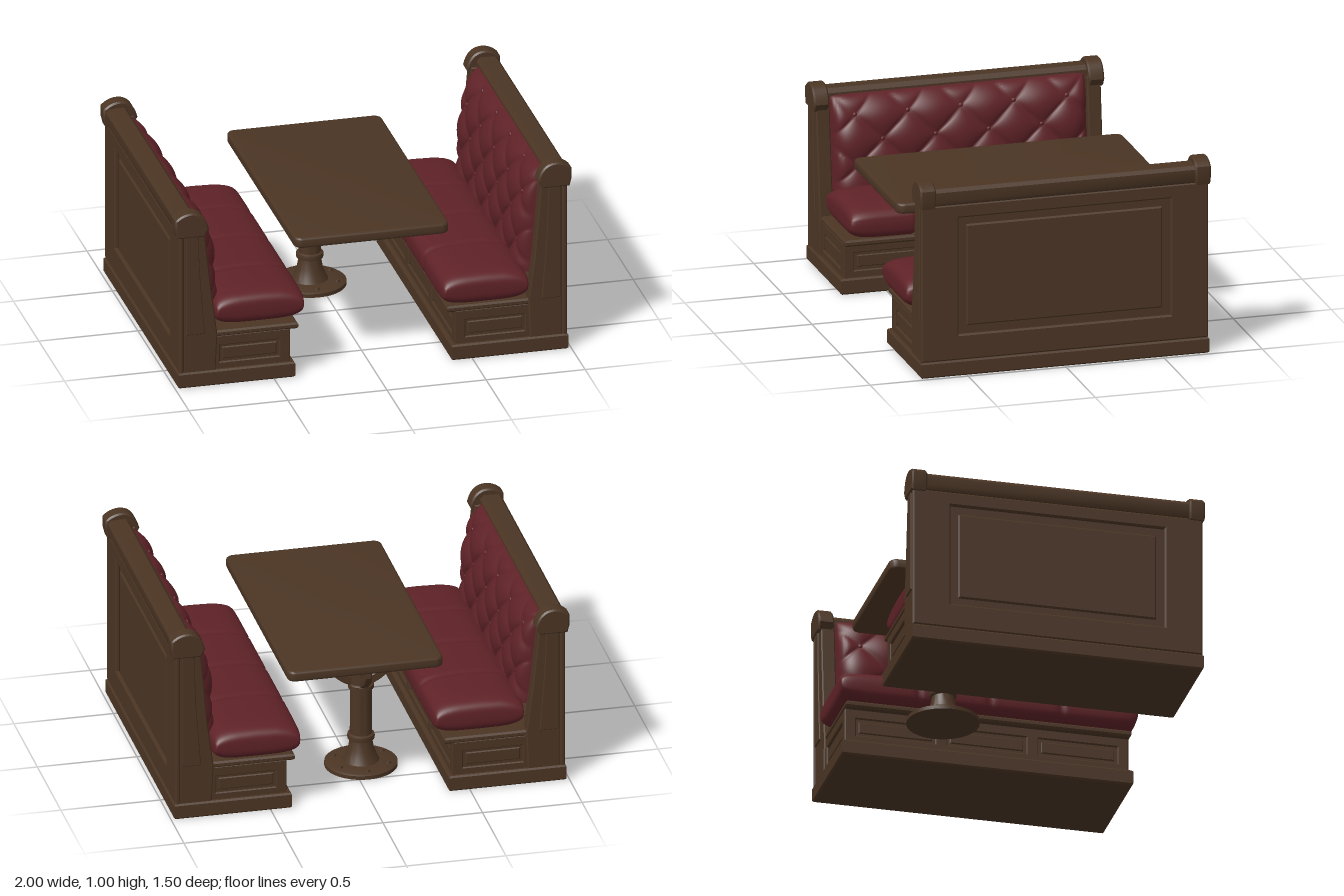
import * as THREE from 'three';
import { toCreasedNormals } from 'three/addons/utils/BufferGeometryUtils.js';

const wood = new THREE.MeshStandardMaterial({ color: 0x4b3524 });
wood.name = 'dark wood';
const leather = new THREE.MeshStandardMaterial({ color: 0x5e2227 });
leather.name = 'red leather';

function add(parent, name, geometry, material = wood) {
  const mesh = new THREE.Mesh(geometry, material);
  mesh.name = name;
  parent.add(mesh);
  return mesh;
}

const polygon = (points) => new THREE.Shape(points.map(([x, y]) => new THREE.Vector2(x, y)));

const rect = (w, h, cx = 0, cy = 0) => [[-1, -1], [1, -1], [1, 1], [-1, 1]]
  .map(([x, y]) => [cx + x * w / 2, cy + y * h / 2]);

// Rectangle with rounded corners, as a list of points
function roundedRect(w, h, r) {
  const points = [];
  rect(w - 2 * r, h - 2 * r).forEach(([x, y], corner) => {
    for (let i = 0; i <= 6; i++) {
      const a = Math.PI * (1 + corner / 2 + i / 12);
      points.push([x + r * Math.cos(a), y + r * Math.sin(a)]);
    }
  });
  return points;
}

// Extrusion centred on z = 0, with its bevel kept inside the outline
function extrude(shape, depth, bevel = 0, segments = 1) {
  const g = new THREE.ExtrudeGeometry(shape, {
    depth: depth - 2 * bevel, bevelEnabled: bevel > 0, bevelSize: bevel, bevelThickness: bevel,
    bevelOffset: -bevel, bevelSegments: segments, curveSegments: 8,
  });
  g.translate(0, 0, bevel - depth / 2);
  return toCreasedNormals(g, 0.6);
}

// Horizontal slab from an outline in x and z
function slab(outline, y0, y1, bevel, segments) {
  return extrude(polygon(outline), y1 - y0, bevel, segments)
    .rotateX(Math.PI / 2).translate(0, (y0 + y1) / 2, 0);
}

function box(x0, x1, y0, y1, halfZ) {
  return new THREE.BoxGeometry(x1 - x0, y1 - y0, 2 * halfZ)
    .translate((x0 + x1) / 2, (y0 + y1) / 2, 0);
}

// Framed panel facing +z: holes are [centreX, centreY, width, height]
function framedPanel(name, w, h, holes, depth, margin) {
  const group = new THREE.Group();
  group.name = name;
  const frame = polygon(rect(w, h));
  for (const [x, y, hw, hh] of holes) {
    frame.holes.push(polygon(rect(hw, hh, x, y).reverse()));
    const field = extrude(polygon(rect(hw - margin, hh - margin)), depth * 0.7, depth * 0.3);
    add(group, 'raisedField', field).position.set(x, y, depth * 0.25);
  }
  add(group, 'frame', extrude(frame, depth, depth * 0.3)).position.z = depth / 2;
  return group;
}

// Puffy seat with a rounded section, pulled in at the seams
function seatGeometry(x0, x1, y0, y1, halfZ) {
  const g = new THREE.PlaneGeometry(1, 1, 32, 160), p = g.attributes.position;
  const pow = (v, e) => Math.sign(v) * Math.abs(v) ** e;
  for (let i = 0; i < p.count; i++) {
    const a = p.getX(i) * Math.PI * 2 + Math.PI / 2;
    const zn = Math.sin(p.getY(i) * Math.PI);
    const end = Math.max(0, 1 - Math.abs(zn) ** 14) ** 0.3;
    const cx = pow(Math.cos(a), 0.5), cy = pow(Math.sin(a), 0.6);
    let seam = 0;
    for (const s of [-0.36, 0, 0.36]) seam += 0.009 * Math.exp(-(((zn * halfZ - s) / 0.015) ** 2));
    const crown = cy > 0 ? 1 - 0.16 * cx * cx : 1;
    const x = (x0 + x1) / 2 + cx * ((x1 - x0) / 2 - seam) * (0.9 + 0.1 * end);
    const y = (y0 + y1) / 2 + cy * ((y1 - y0) / 2 - seam) * crown * end;
    p.setXYZ(i, x, y, zn * halfZ);
  }
  g.computeVertexNormals();
  return g;
}

// Padded back with diamond tufting and buttons
function tuftedBack(parent, y0, y1) {
  const pitchZ = 0.27, pitchY = 0.25, firstRow = y0 + 0.14;
  const surfaceX = (y, z) => {
    const t = THREE.MathUtils.clamp((y - y0) / (y1 - y0), 0, 1);
    const u = z / pitchZ, v = (y - firstRow) / pitchY;
    const puff = Math.abs(Math.sin(Math.PI * (u + v)) * Math.sin(Math.PI * (u - v))) ** 0.45;
    const edge = Math.sqrt(Math.max(0, (1 - Math.abs(z / 0.655) ** 24) * (1 - t ** 9)));
    return 0.905 - (0.133 - 0.055 * t ** 2.2 + 0.03 * puff) * edge;
  };
  const g = new THREE.PlaneGeometry(1.31, y1 - y0, 120, 52);
  g.rotateY(-Math.PI / 2).translate(0, (y0 + y1) / 2, 0);
  const p = g.attributes.position;
  for (let i = 0; i < p.count; i++) p.setX(i, surfaceX(p.getY(i), p.getZ(i)));
  g.computeVertexNormals();
  add(parent, 'tuftedBackCushion', g, leather);
  // Buttons where the diamond creases cross
  for (let row = 0; row < 4; row++) {
    const y = firstRow + row * pitchY / 2;
    if (y > y1 - 0.03) continue;
    for (let k = -2; k <= 2 - row % 2; k++) {
      const z = (k + (row % 2) / 2) * pitchZ;
      const button = add(parent, 'button', new THREE.SphereGeometry(0.013, 10, 8), leather);
      button.scale.x = 0.6;
      button.position.set(surfaceX(y, z), y, z);
    }
  }
}

// Bench on the +x side, facing -x; H is its full height
function bench(name, H, seatX0, seatHalfZ) {
  const g = new THREE.Group();
  g.name = name;
  // Base
  add(g, 'skirting', slab(rect(0.59, 1.47, 0.69), 0, 0.08, 0.008));
  add(g, 'baseBox', box(0.43, 0.95, 0.07, 0.255, 0.7));
  add(g, 'baseLip', slab(rect(0.445, 1.44, 0.598), 0.25, 0.282, 0.009));
  const front = framedPanel('baseFrontPanel', 1.43, 0.18, [-0.46, 0, 0.46].map((x) => [x, -0.005, 0.4, 0.09]), 0.015, 0.03);
  front.rotation.y = -Math.PI / 2;
  front.position.set(0.43, 0.165, 0);
  g.add(front);
  // Back board and its framed rear
  add(g, 'backBoard', box(0.88, 0.957, 0.05, H - 0.06, 0.67));
  const rearY = H / 2 - 0.02;
  const rear = framedPanel('rearPanel', 1.465, H - 0.2, [[0, H / 2 + 0.01 - rearY, 1.08, H - 0.4]], 0.025, 0.08);
  rear.rotation.y = Math.PI / 2;
  rear.position.set(0.955, rearY, 0);
  g.add(rear);
  // Crest rail between the caps
  const crest = polygon([[0.88, H - 0.12], [0.98, H - 0.12], [0.99, H - 0.1], [0.99, H - 0.05],
    [0.975, H - 0.033], [0.9, H - 0.03], [0.88, H - 0.05]]);
  add(g, 'crestRail', extrude(crest, 1.36));
  // Posts, caps and base panels at both ends
  const post = polygon([[0.795, 0.05], [0.958, 0.05], [0.958, H - 0.08], [0.852, H - 0.08],
    [0.845, H - 0.15], [0.815, 0.5], [0.785, 0.27]]);
  const molding = polygon([[0.85, 0.28], [0.945, 0.28], [0.945, H - 0.1], [0.885, H - 0.1], [0.875, 0.6]]);
  const cap = new THREE.Shape();
  cap.moveTo(0.852, H - 0.13).lineTo(0.99, H - 0.13).lineTo(1, H - 0.09).lineTo(1, H - 0.035);
  cap.quadraticCurveTo(0.965, H, 0.92, H).quadraticCurveTo(0.85, H, 0.83, H - 0.09);
  for (const s of [-1, 1]) {
    add(g, 'endPost', extrude(post, 0.07, 0.006)).position.z = s * 0.691;
    add(g, 'postMolding', extrude(molding, 0.012, 0.004)).position.z = s * 0.728;
    add(g, 'postCap', extrude(cap, 0.078, 0.008)).position.z = s * 0.701;
    const panel = framedPanel('baseEndPanel', 0.38, 0.18, [[s * 0.01, -0.007, 0.3, 0.088]], 0.016, 0.025);
    panel.rotation.y = s < 0 ? Math.PI : 0;
    panel.position.set(0.61, 0.165, s * 0.7);
    g.add(panel);
  }
  // Upholstery
  add(g, 'seatCushion', seatGeometry(seatX0, 0.79, 0.277, 0.458, seatHalfZ), leather);
  tuftedBack(g, 0.39, H - 0.055);
  return g;
}

function table() {
  const g = new THREE.Group();
  g.name = 'table';
  add(g, 'tableTop', slab(roundedRect(0.78, 1.37, 0.04), 0.657, 0.71, 0.012, 3)).position.set(0.01, 0, -0.005);
  const leg = new THREE.Group();
  leg.name = 'pedestal';
  leg.position.set(-0.045, 0, -0.34);
  g.add(leg);
  // Turned column with foot, rings and collar
  const profile = [[0, 0.005], [0.18, 0.005], [0.18, 0.024], [0.17, 0.03], [0.09, 0.034], [0.078, 0.06], [0.063, 0.1],
    [0.055, 0.145], [0.066, 0.15], [0.068, 0.163], [0.066, 0.175], [0.055, 0.18], [0.053, 0.42], [0.064, 0.426],
    [0.064, 0.446], [0.055, 0.452], [0.055, 0.615], [0.068, 0.63], [0.068, 0.66], [0, 0.66]];
  const column = new THREE.LatheGeometry(profile.map(([r, y]) => new THREE.Vector2(r, y)), 36);
  add(leg, 'column', toCreasedNormals(column, 0.6));
  // Curved brackets
  const bracket = new THREE.Shape();
  bracket.moveTo(0.045, 0.44).quadraticCurveTo(0.13, 0.47, 0.168, 0.545).lineTo(0.152, 0.66).lineTo(0.122, 0.66);
  bracket.lineTo(0.128, 0.56).quadraticCurveTo(0.1, 0.51, 0.045, 0.49);
  for (let i = 0; i < 4; i++) {
    add(leg, 'bracket', extrude(bracket, 0.034, 0.005)).rotation.y = i * Math.PI / 2;
  }
  // Foot bolts
  for (let i = 0; i < 6; i++) {
    const a = (i + 0.5) * Math.PI / 3;
    const bolt = add(leg, 'bolt', new THREE.CylinderGeometry(0.012, 0.015, 0.012, 10));
    bolt.position.set(Math.cos(a) * 0.14, 0.036, Math.sin(a) * 0.14);
  }
  return g;
}

export function createModel() {
  const model = new THREE.Group();
  model.name = 'diningBooth';
  const lowBench = bench('lowBench', 0.93, 0.33, 0.7);
  lowBench.rotation.y = Math.PI;
  model.add(bench('tallBench', 1, 0.345, 0.75), lowBench, table());
  return model;
}
